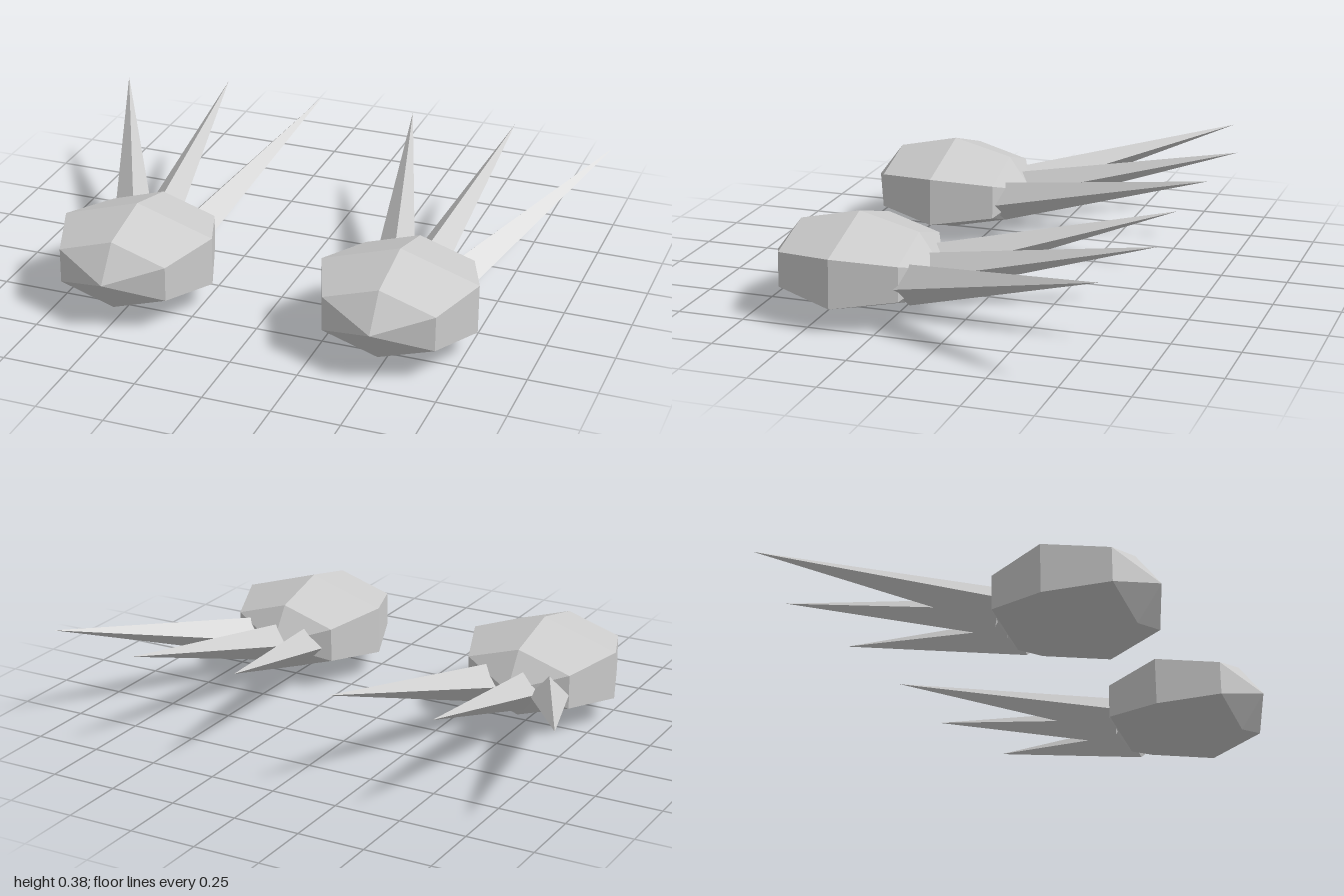
import * as THREE from 'three';

const material = new THREE.MeshStandardMaterial({ color: 0xcccccc, flatShading: true });

// Six-sided faceted pod with its poles along z, pitched slightly up at the front
function makeBody() {
  const geo = new THREE.SphereGeometry(1, 6, 4);
  geo.rotateY(Math.PI / 2);
  geo.rotateX(Math.PI / 2);
  geo.scale(0.335, 0.183, 0.32);
  geo.rotateX(-0.016);
  const body = new THREE.Mesh(geo, material);
  body.name = 'body';
  return body;
}

// Four-sided spike running from base to tip, one ridge facing up
function makeSpike(base, tip) {
  const from = new THREE.Vector3(...base);
  const to = new THREE.Vector3(...tip);
  const length = from.distanceTo(to);
  const geo = new THREE.ConeGeometry(0.075, length, 4);
  geo.translate(0, length / 2, 0);
  geo.rotateX(Math.PI / 2);
  const spike = new THREE.Mesh(geo, material);
  spike.position.copy(from);
  spike.lookAt(to);
  return spike;
}

export function createModel() {
  const model = new THREE.Group();
  model.name = 'spikedFeet';

  // Each spike: base x, tip x, tip z (the two feet differ slightly)
  const feet = [
    { name: 'rightFoot', x: -0.5, spikes: [[-0.626, -1, -0.615], [-0.535, -0.605, -0.72], [-0.385, -0.195, -0.7]] },
    { name: 'leftFoot', x: 0.5, spikes: [[0.405, 0.19, -0.685], [0.51, 0.595, -0.72], [0.64, 1, -0.635]] },
  ];

  for (const { name, x, spikes } of feet) {
    const foot = new THREE.Group();
    foot.name = name;
    const body = makeBody();
    body.position.set(x, 0.184, 0.4);
    foot.add(body);
    spikes.forEach(([baseX, tipX, tipZ], i) => {
      const spike = makeSpike([baseX, 0.16, 0.17], [tipX, 0.38, tipZ]);
      spike.name = `spike${i + 1}`;
      foot.add(spike);
    });
    model.add(foot);
  }
  return model;
}
